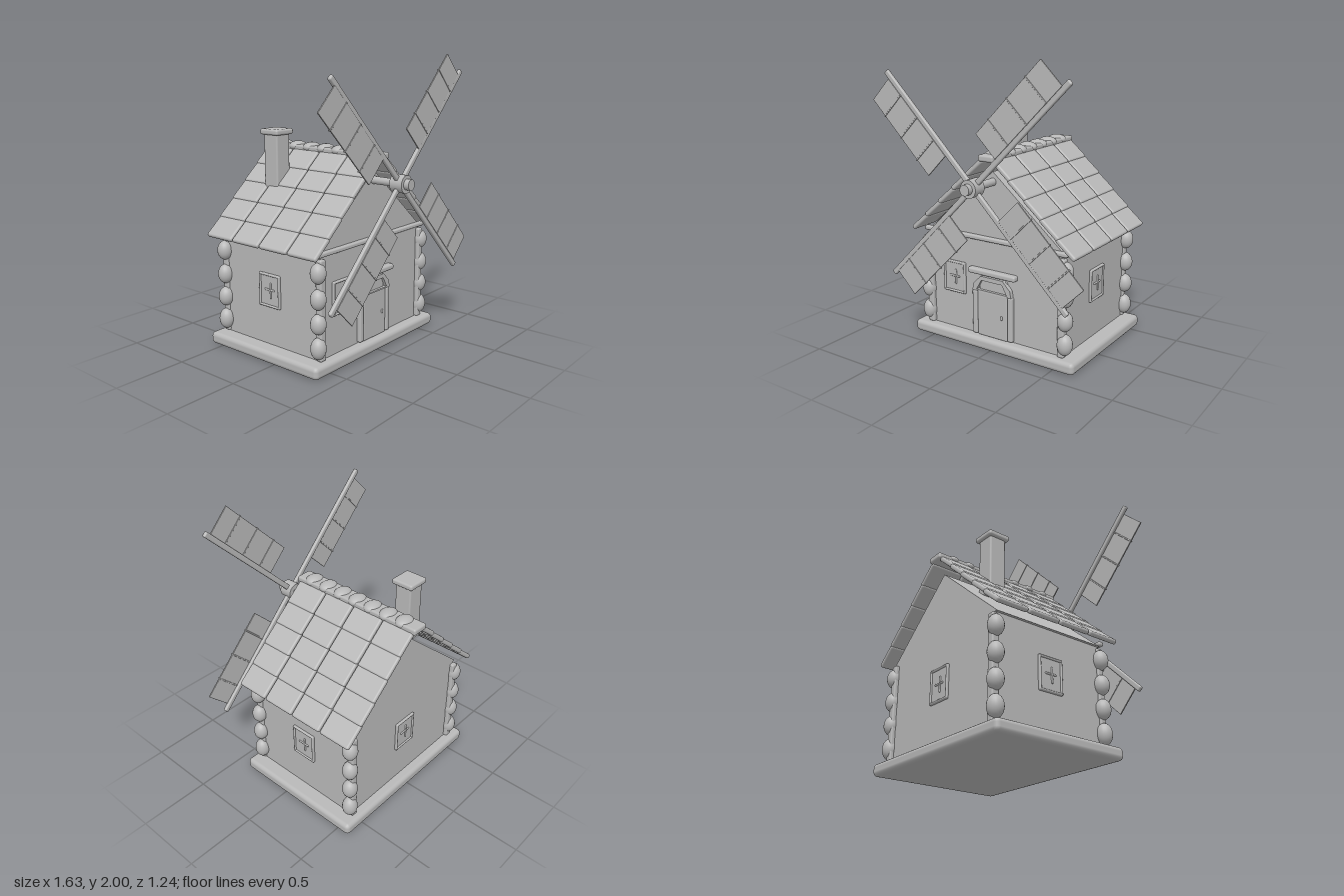
import * as THREE from 'three';
import { RoundedBoxGeometry } from 'three/addons/geometries/RoundedBoxGeometry.js';

export function createModel() {
  const root = new THREE.Group();
  root.name = 'windmillCottage';
  const clay = new THREE.MeshStandardMaterial({ color: 0xb8b8b8 });
  clay.name = 'clay grey';

  const add = (parent, name, geo, x = 0, y = 0, z = 0) => {
    const m = new THREE.Mesh(geo, clay);
    m.name = name;
    m.position.set(x, y, z);
    parent.add(m);
    return m;
  };
  const box = (parent, name, w, h, d, x, y, z, r = 0.012) =>
    add(parent, name, new RoundedBoxGeometry(w, h, d, 2, Math.min(r, w / 2.05, h / 2.05, d / 2.05)), x, y, z);
  const group = (parent, name) => {
    const g = new THREE.Group();
    g.name = name;
    parent.add(g);
    return g;
  };
  const midZ = -0.107;

  // Base slab and walls
  box(root, 'baseSlab', 1.32, 0.085, 0.99, 0, 0.0425, midZ, 0.03);
  add(root, 'walls', new THREE.BoxGeometry(1.1, 0.69, 0.85), 0, 0.425, midZ);

  // Gabled loft with beams at the eaves line
  const tri = new THREE.Shape([[-0.57, 0.765], [0.57, 0.765], [0, 1.25]].map(p => new THREE.Vector2(...p)));
  add(root, 'gable', new THREE.ExtrudeGeometry(tri, { depth: 0.85, bevelEnabled: false }), 0, 0, midZ - 0.425);
  box(root, 'frontBeam', 1.16, 0.032, 0.04, 0, 0.785, 0.325);

  // Corner stones, four at each corner
  const stone = new THREE.SphereGeometry(1, 20, 14);
  for (const sx of [-1, 1]) for (const z of [0.322, -0.535]) {
    const corner = group(root, 'cornerStones');
    box(corner, 'cornerPost', 0.05, 0.67, 0.05, sx * 0.54, 0.42, z);
    [0.175, 0.337, 0.5, 0.67].forEach((y, i) => {
      const s = add(corner, 'cornerStone', stone, sx * 0.563, y, z);
      s.scale.set(0.053, i === 0 ? 0.072 : 0.068, 0.052);
    });
  }

  // Roof: four columns of five overlapping tiles on each slope
  const dx = 0.6, dy = 0.55, len = Math.hypot(dx, dy), slope = Math.atan2(dy, dx);
  for (const sx of [-1, 1]) {
    const side = group(root, sx < 0 ? 'leftSlopeTiles' : 'rightSlopeTiles');
    for (let c = 0; c < 4; c++) for (let r = 0; r < 5; r++) {
      const t = (r + 0.5) / 5;
      const m = box(side, 'roofTile', len / 5 + 0.014, 0.034, 0.24,
        sx * (0.65 - dx * t), 0.78 + dy * t, -0.482 + c * 0.249, 0.014);
      m.rotation.z = -sx * (slope - 0.04);
    }
  }

  // Ridge beam topped with rounded stones
  box(root, 'ridgeBeam', 0.12, 0.045, 1.025, 0, 1.347, midZ, 0.015);
  for (let i = 0; i < 7; i++)
    add(root, 'ridgeStone', stone, 0, 1.355, -0.49 + i * 0.131).scale.set(0.07, 0.036, 0.057);

  // Chimney
  box(root, 'chimney', 0.125, 0.43, 0.125, -0.25, 1.26, -0.325);
  box(root, 'chimneyCap', 0.165, 0.04, 0.165, -0.25, 1.48, -0.325, 0.015);

  // Windows: pane, frame bars and cross
  const addWindow = (x, z, turn) => {
    const g = group(root, 'window');
    g.position.set(x, 0.465, z);
    g.rotation.y = turn;
    box(g, 'pane', 0.185, 0.23, 0.016, 0, 0, 0, 0.006);
    for (const s of [-1, 1]) {
      box(g, 'frameSide', 0.016, 0.23, 0.03, s * 0.086, 0, 0.002);
      box(g, 'frameRail', 0.185, 0.016, 0.03, 0, s * 0.107, 0.002);
    }
    box(g, 'crossUpright', 0.014, 0.11, 0.026, 0.01, 0, 0.002);
    box(g, 'crossBar', 0.09, 0.014, 0.026, 0, 0.005, 0.002);
  };
  addWindow(-0.33, 0.318, 0);
  addWindow(0, -0.532, Math.PI);
  addWindow(0.55, -0.11, Math.PI / 2);
  addWindow(-0.55, -0.11, -Math.PI / 2);

  // Door with posts, arched head, lintel and handle
  const door = group(root, 'door');
  box(door, 'doorLeaf', 0.25, 0.33, 0.03, 0, 0.25, 0.327);
  for (const s of [-1, 1]) box(door, 'doorPost', 0.04, 0.32, 0.045, s * 0.145, 0.25, 0.325);
  const arch = new THREE.Shape([[-0.16, 0.41], [0.16, 0.41], [0.15, 0.46], [0.09, 0.52], [-0.09, 0.52], [-0.15, 0.46]]
    .map(p => new THREE.Vector2(...p)));
  arch.holes.push(new THREE.Path([[-0.125, 0.42], [-0.085, 0.49], [0.085, 0.49], [0.125, 0.42]]
    .map(p => new THREE.Vector2(...p))));
  add(door, 'doorArch', new THREE.ExtrudeGeometry(arch, { depth: 0.04, bevelEnabled: false }), 0, 0, 0.308);
  box(door, 'archPanel', 0.23, 0.1, 0.02, 0, 0.46, 0.318);
  box(door, 'lintel', 0.39, 0.04, 0.06, 0, 0.55, 0.33, 0.015);
  box(door, 'handle', 0.014, 0.03, 0.016, 0.08, 0.25, 0.345);

  // Axle, hub and tip, all along z
  const rod = (name, r, z0, z1) => {
    const m = add(root, name, new THREE.CylinderGeometry(r, r, z1 - z0, 24), 0, 1.182, (z0 + z1) / 2);
    m.rotation.x = Math.PI / 2;
  };
  rod('axle', 0.026, 0.2, 0.5);
  rod('hub', 0.06, 0.49, 0.585);
  rod('hubTip', 0.036, 0.58, 0.622);

  // Four sails: spar, planked panel on one side and thin battens
  const sails = group(root, 'sails');
  sails.position.set(0, 1.182, 0);
  for (let i = 0; i < 4; i++) {
    const sail = group(sails, 'sail');
    sail.rotation.z = Math.PI / 4 + i * Math.PI / 2;
    box(sail, 'spar', 0.985, 0.038, 0.028, 0.4975, 0, 0.535, 0.01);
    const cuts = [0.275, 0.41, 0.6, 0.79, 0.937];
    for (let k = 0; k < 4; k++) {
      const w = cuts[k + 1] - cuts[k];
      box(sail, 'plank', w, 0.205, 0.01, cuts[k] + w / 2, 0.117, 0.546, 0.003);
      if (k) box(sail, 'batten', 0.01, 0.212, 0.018, cuts[k], 0.118, 0.546, 0.003);
    }
  }
  return root;
}
